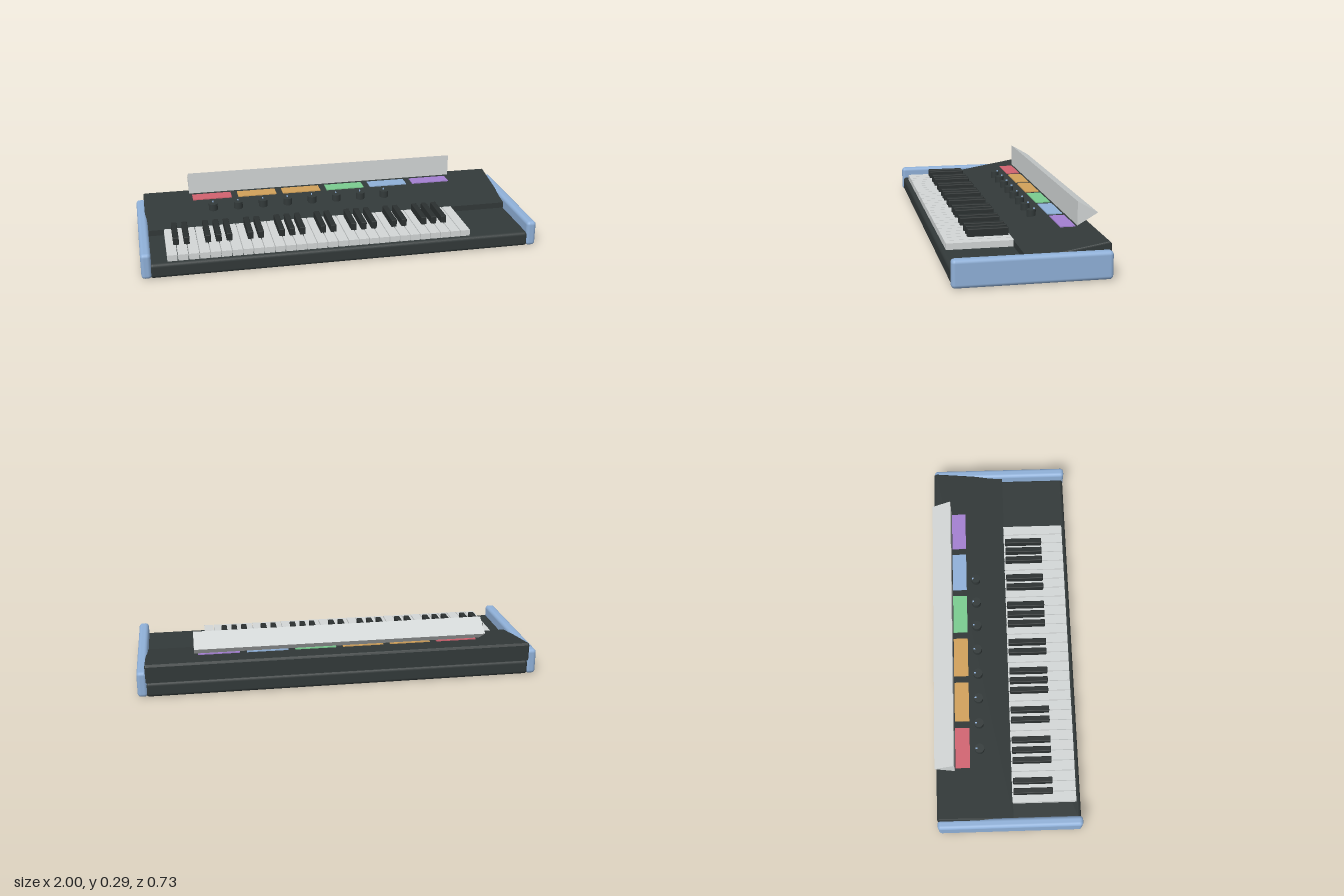
import * as THREE from 'three';
import { RoundedBoxGeometry } from 'three/addons/geometries/RoundedBoxGeometry.js';

const mat = (name, color) => {
  const m = new THREE.MeshStandardMaterial({ color });
  m.name = name;
  return m;
};

export function createModel() {
  const group = new THREE.Group();
  group.name = 'keyboardSynth';
  const dark = mat('charcoal', 0x323939);
  const black = mat('blackKey', 0x2b3030);
  const ivory = mat('ivory', 0xd2d6d6);
  const blue = mat('blue', 0x8fb0d8);
  const red = mat('red', 0xd0626f);
  const orange = mat('orange', 0xd0a05a);
  const green = mat('green', 0x7acb8f);
  const purple = mat('purple', 0xa37fd0);

  const add = (name, geo, material, x, y, z) => {
    const mesh = new THREE.Mesh(geo, material);
    mesh.name = name;
    mesh.position.set(x, y, z);
    group.add(mesh);
    return mesh;
  };

  // Lower case
  add('base', new RoundedBoxGeometry(1.92, 0.076, 0.715, 3, 0.018), dark, 0, 0.038, 0.002);

  // Side rails
  const railGeo = new RoundedBoxGeometry(0.05, 0.13, 0.721, 4, 0.018);
  for (const s of [-1, 1]) add(s > 0 ? 'leftRail' : 'rightRail', railGeo, blue, s * 0.975, 0.067, 0.004);

  // Sloped control panel: wedge profile in z and y, extruded along x
  const wedge = new THREE.Shape([
    new THREE.Vector2(-0.357, 0.076), new THREE.Vector2(0.02, 0.076),
    new THREE.Vector2(0.02, 0.106), new THREE.Vector2(-0.346, 0.167),
    new THREE.Vector2(-0.357, 0.157),
  ]);
  const bevel = 0.008;
  const panelGeo = new THREE.ExtrudeGeometry(wedge, {
    depth: 1.92 - 2 * bevel, bevelEnabled: true, bevelSize: bevel,
    bevelThickness: bevel, bevelOffset: -bevel, bevelSegments: 3,
  });
  panelGeo.translate(0, 0, -0.96 + bevel).rotateY(-Math.PI / 2);
  add('controlPanel', panelGeo, dark, 0, 0, 0);

  // Four octaves of white keys plus the last C, with black keys at the seams
  const pitch = 1.528 / 29, startX = -0.874;
  const whiteGeo = new THREE.BoxGeometry(pitch - 0.004, 0.034, 0.32);
  const blackGeo = new RoundedBoxGeometry(0.028, 0.048, 0.197, 2, 0.004);
  const hasSharp = [true, true, false, true, true, true, false];
  for (let i = 0; i < 29; i++) {
    add('whiteKey', whiteGeo, ivory, startX + (i + 0.5) * pitch, 0.09, 0.177);
    if (i < 28 && hasSharp[i % 7]) {
      add('blackKey', blackGeo, black, startX + (i + 1) * pitch, 0.121, 0.1225);
    }
  }

  // Coloured pads
  const padGeo = new THREE.BoxGeometry(0.205, 0.005, 0.073);
  [red, orange, orange, green, blue, purple].forEach((m, i) => {
    add('pad', padGeo, m, -0.602 + i * 0.24, 0.172, -0.225);
  });

  // Knobs with small pointer marks
  const knobGeo = new THREE.CylinderGeometry(0.0235, 0.0235, 0.042, 20);
  const markGeo = new THREE.BoxGeometry(0.006, 0.007, 0.009);
  for (let i = 0; i < 8; i++) {
    const x = -0.604 + i * 0.1323;
    add('knob', knobGeo, dark, x, 0.144, -0.14);
    add('knobMark', markGeo, blue, x, 0.168, -0.155);
  }

  // Triangular display bar, upright face to the front and ridge to the back
  const bar = new THREE.Shape([
    new THREE.Vector2(-0.265, 0.18), new THREE.Vector2(-0.265, 0.294), new THREE.Vector2(-0.363, 0.237),
  ]);
  const barGeo = new THREE.ExtrudeGeometry(bar, { depth: 1.44, bevelEnabled: false });
  barGeo.translate(0, 0, -0.72).rotateY(-Math.PI / 2);
  add('displayBar', barGeo, ivory, 0, 0, 0);

  return group;
}
